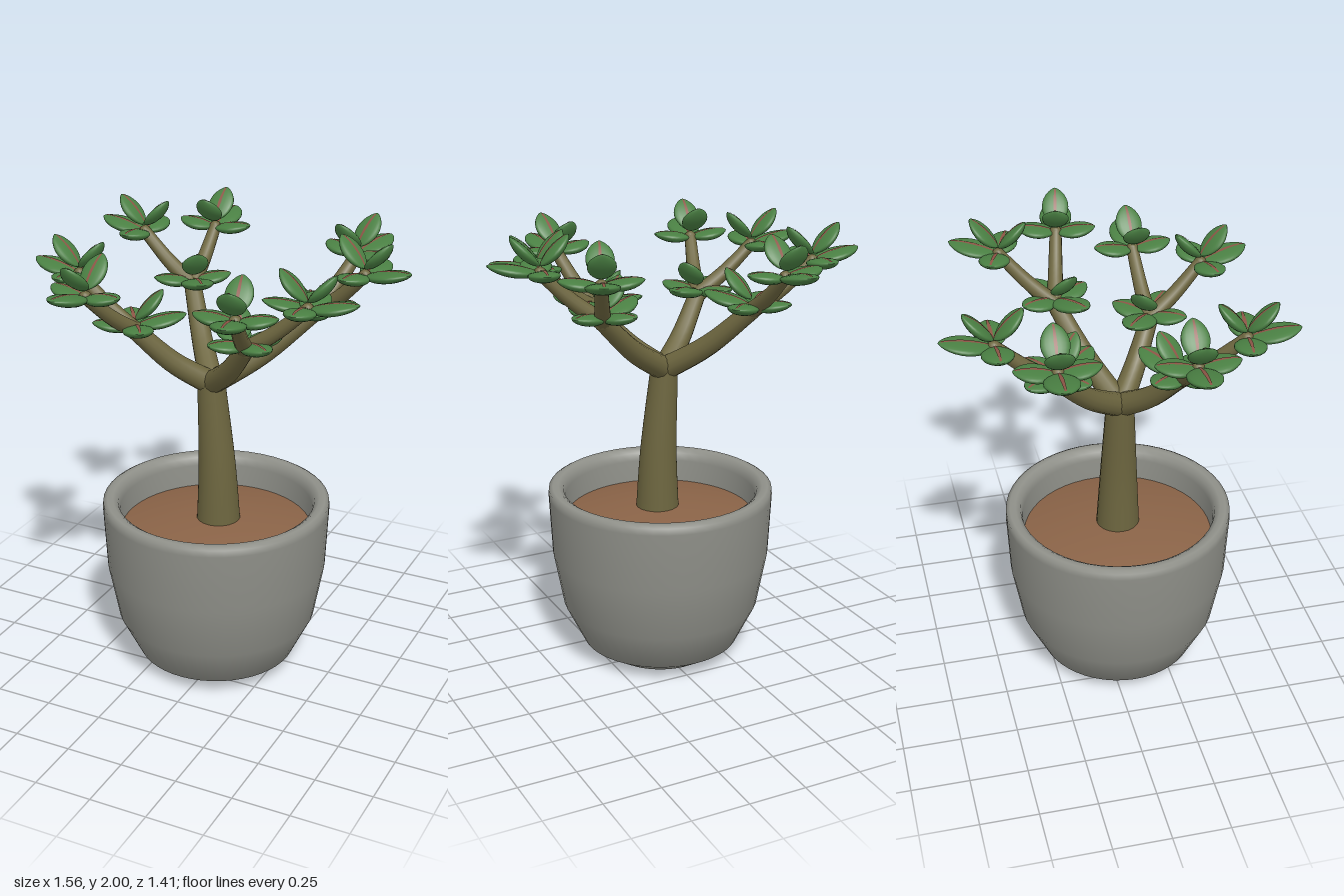
import * as THREE from 'three';

const mat = (name, color, side = THREE.FrontSide) => {
  const m = new THREE.MeshStandardMaterial({ color, side });
  m.name = name;
  return m;
};
const V = (x, y, z) => new THREE.Vector3(x, y, z);

// Round tube along a smooth path, tapering from r0 to r1
function taperedTube(points, r0, r1, sides = 12, steps = 10) {
  const curve = new THREE.CatmullRomCurve3(points);
  const geo = new THREE.TubeGeometry(curve, steps, 1, sides);
  const pos = geo.attributes.position;
  const p = V(0, 0, 0);
  for (let i = 0; i < pos.count; i++) {
    const t = Math.floor(i / (sides + 1)) / steps;
    const c = curve.getPointAt(t);
    p.fromBufferAttribute(pos, i).sub(c).multiplyScalar(r0 + (r1 - r0) * t).add(c);
    pos.setXYZ(i, p.x, p.y, p.z);
  }
  return geo;
}

// Unit leaf along +x: length 1, width 1, pointed ends, flatter on top
const TOP = 0.35, BOTTOM = 0.65;
const leafFullness = (u) => Math.pow(Math.max(0, 1 - u * u), 0.72);

function leafGeometry() {
  const geo = new THREE.SphereGeometry(1, 18, 14);
  geo.rotateZ(-Math.PI / 2);
  const pos = geo.attributes.position;
  for (let i = 0; i < pos.count; i++) {
    const u = pos.getX(i), y = pos.getY(i), z = pos.getZ(i);
    const r = Math.hypot(y, z) || 1;
    const f = leafFullness(u) / r;
    pos.setXYZ(i, (u + 1) / 2, y * f * (y > 0 ? TOP : BOTTOM), z * f * 0.5);
  }
  geo.computeVertexNormals();
  return geo;
}

// Thin tapering strip lying on the top face of the unit leaf
function ribGeometry() {
  const geo = new THREE.PlaneGeometry(1, 1, 12, 1).rotateX(-Math.PI / 2);
  const pos = geo.attributes.position;
  for (let i = 0; i < pos.count; i++) {
    const u = pos.getX(i) * 1.8;
    pos.setXYZ(i, (u + 1) / 2, leafFullness(u) * TOP + 0.05, pos.getZ(i) * 0.12 * (1 - 0.5 * Math.abs(u)));
  }
  geo.computeVertexNormals();
  return geo;
}

export function createModel() {
  const model = new THREE.Group();
  model.name = 'pottedSucculent';
  const potMat = mat('potGrey', 0x8f9089);
  const soilMat = mat('soilBrown', 0x8a6347);
  const barkMat = mat('barkOlive', 0x6e6740);
  const leafMat = mat('leafGreen', 0x4a8043);
  const ribMat = mat('ribRed', 0x8c5546, THREE.DoubleSide);

  const add = (parent, name, geo, material) => {
    const mesh = new THREE.Mesh(geo, material);
    mesh.name = name;
    parent.add(mesh);
    return mesh;
  };
  const lathe = (pairs) => new THREE.LatheGeometry(pairs.map(([r, y]) => new THREE.Vector2(r, y)), 48);

  // Pot and soil
  const potX = -0.025, potZ = 0.063;
  const pot = add(model, 'pot', lathe([
    [0, 0], [0.24, 0], [0.35, 0.07], [0.437, 0.25], [0.481, 0.49], [0.494, 0.76],
    [0.492, 0.79], [0.475, 0.8], [0.45, 0.8], [0.428, 0.785], [0.42, 0.75], [0.415, 0.62],
  ]), potMat);
  const soil = add(model, 'soil', lathe([[0.42, 0.65], [0.3, 0.68], [0.15, 0.7], [0, 0.705]].reverse()), soilMat);
  soil.material.side = THREE.DoubleSide;
  for (const m of [pot, soil]) m.position.set(potX, 0, potZ);

  // Trunk, leaning slightly, with a rounded fork
  const fork = V(-0.045, 1.325, 0.065);
  add(model, 'trunk', taperedTube([V(-0.012, 0.66, 0.066), V(-0.018, 0.95, 0.067), fork], 0.097, 0.06, 20), barkMat);
  add(model, 'trunkFork', new THREE.SphereGeometry(0.06, 20, 12), barkMat).position.copy(fork);

  // Leaves
  const leafGeo = leafGeometry();
  const ribGeo = ribGeometry();
  function addLeaf(rosette, yaw, tilt, length, width, lift = 0) {
    const leaf = new THREE.Group();
    leaf.name = 'leaf';
    add(leaf, 'leafBlade', leafGeo, leafMat);
    add(leaf, 'leafRib', ribGeo, ribMat);
    leaf.scale.set(length, 0.046, width);
    leaf.rotation.set(0, yaw, tilt, 'YZX');
    leaf.position.y = lift;
    rosette.add(leaf);
  }

  // Rosette whose local +x points along (dx, dz)
  function addRosette(name, at, dx, dz, isNode) {
    const rosette = new THREE.Group();
    rosette.name = name;
    rosette.position.copy(at);
    rosette.rotation.y = Math.atan2(-dz, dx);
    for (const s of [1, -1]) addLeaf(rosette, s * Math.PI / 2, 0.14, 0.172, 0.13);
    addLeaf(rosette, 0, 0.2, 0.218, 0.14);
    if (isNode) addLeaf(rosette, Math.PI, 0.15, 0.18, 0.125);
    addLeaf(rosette, 0, 0.8, 0.17, 0.115, 0.03);
    if (!isNode) addLeaf(rosette, Math.PI, 0.8, 0.17, 0.115, 0.03);
    model.add(rosette);
  }

  // Four boughs: a node, then two twigs, each [x, y, z, outward x, outward z]
  const boughs = [
    { node: V(-0.29, 1.63, -0.25), tips: [[-0.3, 1.825, -0.495, 0, -1], [-0.548, 1.825, -0.298, -1, -0.06]] },
    { node: V(0.33, 1.63, -0.13), tips: [[0.433, 1.84, -0.349, 0.36, -0.93], [0.573, 1.845, -0.074, 1, 0.2]] },
    { node: V(-0.3, 1.58, 0.25), tips: [[-0.39, 1.785, 0.488, -0.16, 1], [-0.564, 1.785, 0.239, -1, -0.05]] },
    { node: V(0.2, 1.58, 0.25), tips: [[0.268, 1.785, 0.488, 0.2, 1], [0.459, 1.785, 0.239, 1, -0.04]] },
  ];
  for (const { node, tips } of boughs) {
    const mid = fork.clone().lerp(node, 0.5);
    mid.y -= 0.025;
    add(model, 'bough', taperedTube([fork, mid, node], 0.052, 0.038), barkMat);
    add(model, 'boughNode', new THREE.SphereGeometry(0.039, 12, 8), barkMat).position.copy(node);
    addRosette('nodeLeaves', V(node.x, node.y + 0.02, node.z), fork.x - node.x, fork.z - node.z, true);
    for (const [x, y, z, dx, dz] of tips) {
      const tip = V(x, y, z);
      const bend = node.clone().lerp(tip, 0.5);
      bend.y -= 0.012;
      add(model, 'twig', taperedTube([node, bend, tip], 0.036, 0.026), barkMat);
      add(model, 'twigTip', new THREE.SphereGeometry(0.027, 12, 8), barkMat).position.copy(tip);
      addRosette('tipLeaves', tip, dx, dz, false);
    }
  }
  return model;
}
